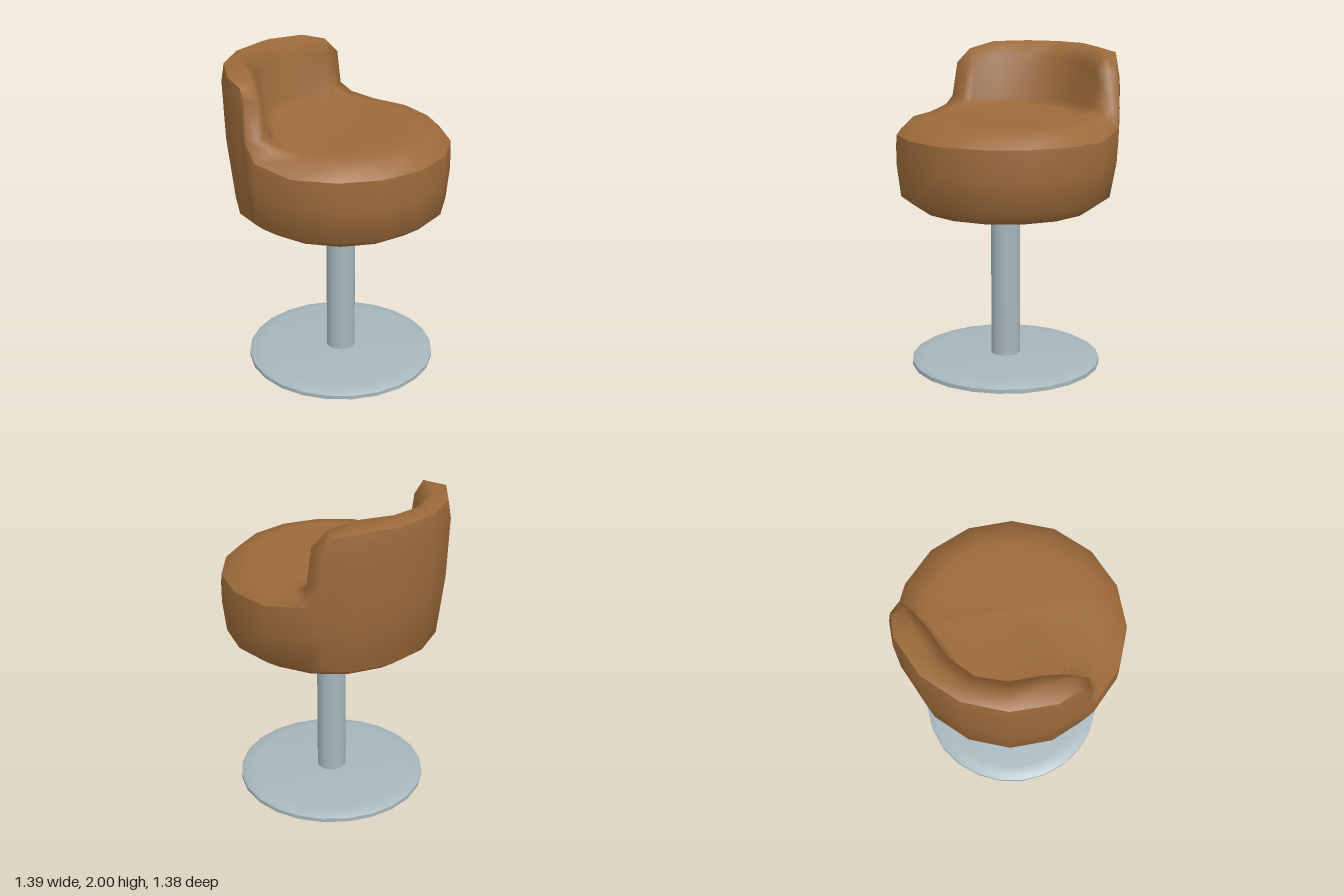
import * as THREE from 'three';
import { toCreasedNormals } from 'three/addons/utils/BufferGeometryUtils.js';

const CX = 0.0; // seat centre

// Cushion edge of one half of the backrest, from the middle of the back to the arm end.
// Each row: outer rim, crown, inner edge, foot of the inner wall, start of the flat seat.
const backRows = [
  [[-0.68, 1.965, 0], [-0.60, 2.0, 0], [-0.50, 1.90, 0], [-0.485, 1.64, 0], [-0.41, 1.59, 0]],
  [[-0.63, 1.965, 0.26], [-0.55, 2.0, 0.21], [-0.455, 1.90, 0.18], [-0.44, 1.64, 0.18], [-0.37, 1.59, 0.16]],
  [[-0.485, 1.96, 0.485], [-0.41, 1.995, 0.39], [-0.35, 1.90, 0.34], [-0.34, 1.64, 0.34], [-0.28, 1.59, 0.30]],
  [[-0.37, 1.93, 0.555], [-0.31, 1.95, 0.51], [-0.28, 1.87, 0.46], [-0.27, 1.64, 0.45], [-0.22, 1.59, 0.40]],
  [[-0.335, 1.87, 0.585], [-0.25, 1.86, 0.57], [-0.25, 1.80, 0.50], [-0.25, 1.64, 0.48], [-0.20, 1.59, 0.43]],
  [[-0.32, 1.64, 0.612], [-0.24, 1.64, 0.605], [-0.24, 1.635, 0.52], [-0.23, 1.62, 0.49], [-0.18, 1.587, 0.44]],
  [[-0.25, 1.52, 0.64], [-0.16, 1.59, 0.60], [-0.15, 1.588, 0.52], [-0.14, 1.585, 0.48], [-0.12, 1.58, 0.42]],
];

// Plain round edge for the open front of the seat
function frontRow(deg) {
  const a = THREE.MathUtils.degToRad(deg);
  return [[0.685, 1.48], [0.60, 1.56], [0.52, 1.57], [0.48, 1.575], [0.40, 1.575]]
    .map(([r, y]) => [-r * Math.cos(a), y, r * Math.sin(a)]);
}

// Skin rows of points into a closed surface; every row runs inward or upward
function skin(rows) {
  const n = rows.length, m = rows[0].length, index = [];
  for (let i = 0; i < n; i++) {
    const k = (i + 1) % n;
    for (let j = 0; j < m - 1; j++) {
      const a = i * m + j, b = k * m + j;
      index.push(a, b, b + 1, a, b + 1, a + 1);
    }
  }
  const g = new THREE.BufferGeometry();
  g.setAttribute('position', new THREE.Float32BufferAttribute(rows.flat(2), 3));
  g.setIndex(index);
  g.computeVertexNormals();
  return g;
}

// Outer shell below a rim point, following a sixteen-sided outline
function shellRow(rim) {
  const [x, y, z] = rim;
  const a = Math.atan2(z, -x), step = Math.PI / 8;
  const off = a - Math.floor(a / step + 1e-6) * step - step / 2;
  const chord = Math.cos(step / 2) / Math.cos(off);
  const high = THREE.MathUtils.clamp((y - 1.48) / 0.48, 0, 1);
  const at = (r, h, shift) => [-r * chord * Math.cos(a) + shift, h, r * chord * Math.sin(a)];
  const rimR = Math.hypot(x, z) / chord;
  return [
    [0.015, 1.01, 0],
    at(0.40, 1.01, 0.015),
    at(0.54, 1.02, 0.015),
    at(0.655, 1.10, 0.015),
    at(0.688, 1.30 + 0.18 * high, 0.002),
    at(Math.min(0.70, rimR + 0.018 * high + 0.004), y - 0.06 - 0.05 * high, 0),
    rim,
  ];
}

export function createModel() {
  const leather = new THREE.MeshStandardMaterial({ color: 0x9c6a3a });
  leather.name = 'brown leather';
  const metal = new THREE.MeshStandardMaterial({ color: 0xa6b6bd });
  metal.name = 'grey metal';

  const group = new THREE.Group();
  group.name = 'barStool';
  const add = (name, geometry, material) => {
    const mesh = new THREE.Mesh(geometry, material);
    mesh.name = name;
    group.add(mesh);
    return mesh;
  };

  // Rim all the way round: one half, then its mirror image
  const half = [...backRows, ...[90, 112.5, 135, 157.5, 180].map(frontRow)];
  const mirrored = half.slice(1, -1).reverse().map(row => row.map(([x, y, z]) => [x, y, -z]));
  const rows = [...half, ...mirrored];

  add('seatShell', skin(rows.map(row => shellRow(row[0]))), leather).position.x = CX;
  add('seatCushionAndBackrest', skin(rows.map(row => [...row, [0.08, 1.575, 0]])), leather).position.x = CX;

  // Post
  add('post', new THREE.CylinderGeometry(0.092, 0.092, 1.02, 24), metal).position.set(0.018, 0.511, 0);

  // Floor disc with a softened edge
  const profile = [[0, 0], [0.6, 0], [0.6, 0.025], [0.57, 0.042], [0.51, 0.05], [0, 0.054]]
    .map(([r, y]) => new THREE.Vector2(r, y));
  const disc = toCreasedNormals(new THREE.LatheGeometry(profile, 24), 0.8);
  add('baseDisc', disc, metal).position.x = 0.018;

  return group;
}
